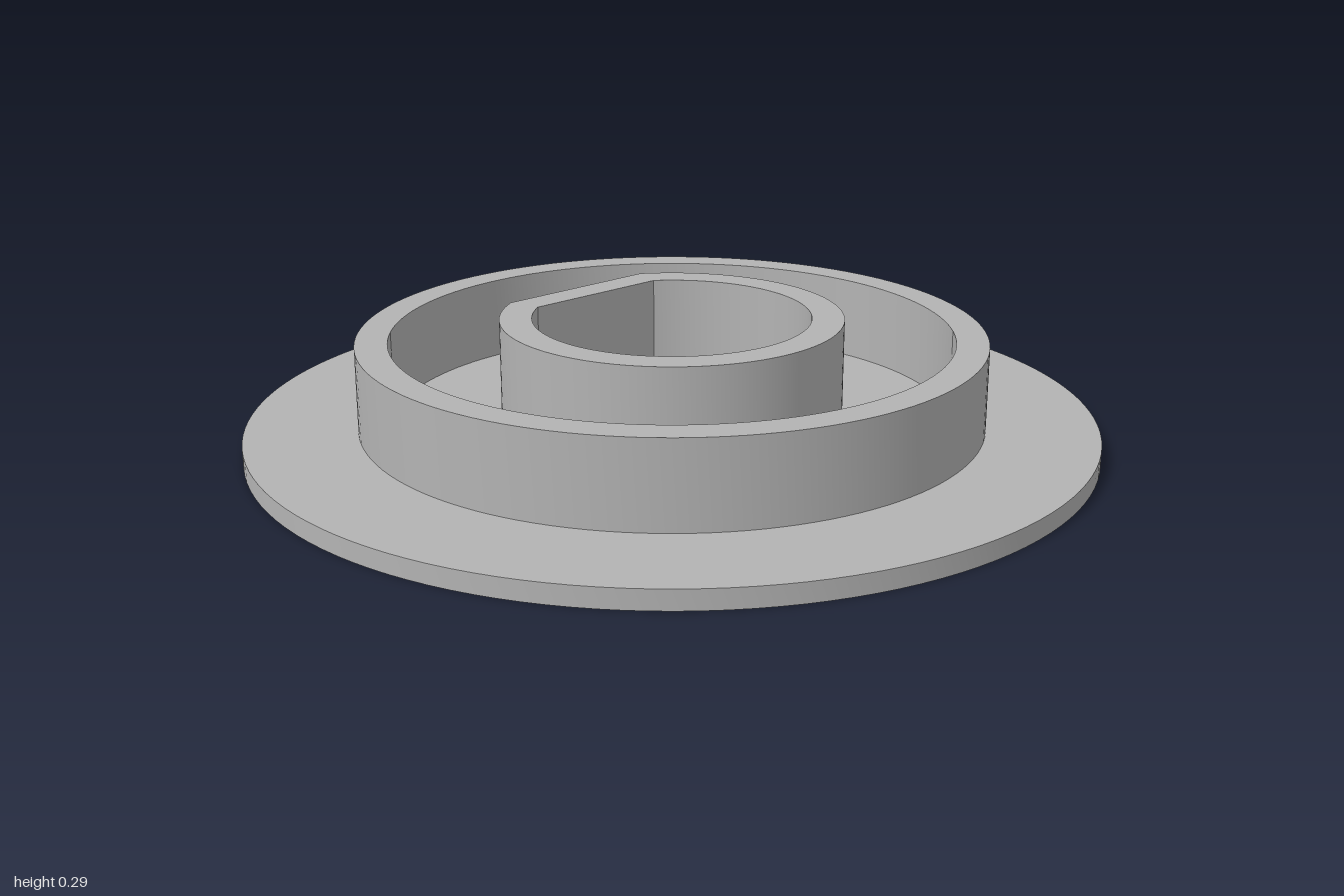
import * as THREE from 'three';
import { toCreasedNormals } from 'three/addons/utils/BufferGeometryUtils.js';

// Traces a circle, or a D cut off by a straight edge at x = -flat
function trace(path, radius, flat = null) {
  if (flat === null) {
    path.absarc(0, 0, radius, 0, Math.PI * 2, false);
  } else {
    const a = Math.PI - Math.acos(flat / radius);
    path.absarc(0, 0, radius, -a, a, false);
    path.closePath();
  }
  return path;
}

export function createModel() {
  const group = new THREE.Group();
  const grey = new THREE.MeshStandardMaterial({ color: 0xb3b3b3 });
  grey.name = 'plain grey';

  // Upright ring between two heights, with outer and inner outlines [radius, flat]
  function addRing(name, outer, inner, bottom, top) {
    const shape = trace(new THREE.Shape(), ...outer);
    shape.holes.push(trace(new THREE.Path(), ...inner));
    const geometry = new THREE.ExtrudeGeometry(shape, {
      depth: top - bottom, bevelEnabled: false, curveSegments: 64,
    });
    geometry.rotateX(-Math.PI / 2);
    geometry.translate(0, bottom, 0);
    const mesh = new THREE.Mesh(toCreasedNormals(geometry, 0.3), grey);
    mesh.name = name;
    group.add(mesh);
  }

  const bore = [0.328, 0.27];
  const plateTop = 0.045;

  // Thin flange with the D-shaped bore
  addRing('flange', [1], bore, 0, plateTop);
  // Outer round wall
  addRing('outerWall', [0.738], [0.662], plateTop, 0.247);
  // D-shaped hub, slightly taller than the wall
  addRing('hub', [0.404, 0.346], bore, plateTop, 0.287);

  return group;
}
